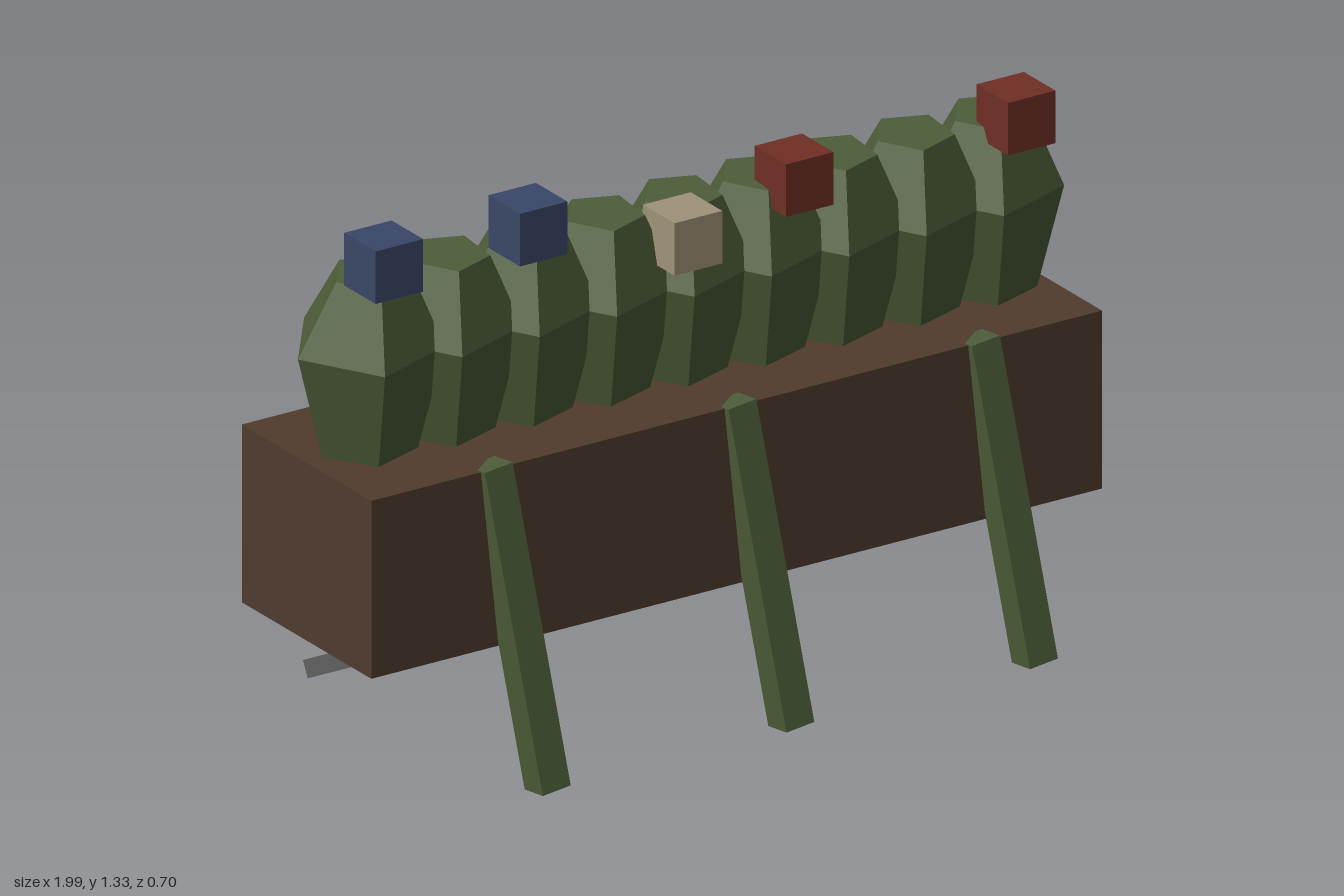
import * as THREE from 'three';

const mat = (name, color) => {
  const m = new THREE.MeshStandardMaterial({ color });
  m.name = name;
  m.flatShading = true;
  return m;
};

// Five-sided faceted shrub: three pentagon rings, closed at both ends
function shrubGeometry() {
  // y, slope of y along z, centre x, centre z, radius
  const rings = [
    [0.773, -0.05, 0.015, -0.033, 0.118],
    [1.035, -0.09, 0, -0.0125, 0.18],
    [1.21, -0.1, 0.003, 0.007, 0.094],
  ];
  const pos = [], index = [];
  for (const [y, slope, cx, cz, r] of rings) {
    for (let i = 0; i < 5; i++) {
      const a = Math.PI + (i * Math.PI * 2) / 5;
      const z = cz - Math.sin(a) * r * 0.95;
      pos.push(cx + Math.cos(a) * r, y + slope * z, z);
    }
  }
  for (let k = 0; k < 2; k++) {
    for (let i = 0; i < 5; i++) {
      const a = k * 5 + i, b = k * 5 + (i + 1) % 5;
      index.push(a, b, b + 5, a, b + 5, a + 5);
    }
  }
  for (let i = 1; i < 4; i++) index.push(0, i + 1, i, 10, 10 + i, 11 + i);
  const g = new THREE.BufferGeometry();
  g.setAttribute('position', new THREE.Float32BufferAttribute(pos, 3));
  g.setIndex(index);
  const flat = g.toNonIndexed();
  flat.computeVertexNormals();
  return flat;
}

export function createModel() {
  const model = new THREE.Group();
  model.name = 'planterBox';
  const green = mat('leafGreen', 0x4d5d38);
  const brown = mat('woodBrown', 0x503c2e);
  const red = mat('flowerRed', 0x702f25);
  const blue = mat('flowerBlue', 0x3a4768);
  const beige = mat('flowerBeige', 0xa09378);
  const gray = mat('metalGray', 0x606060);

  const add = (name, geometry, material, x = 0, y = 0, z = 0) => {
    const mesh = new THREE.Mesh(geometry, material);
    mesh.name = name;
    mesh.position.set(x, y, z);
    model.add(mesh);
    return mesh;
  };

  // Square bar running between two points
  const bar = (name, from, to, width, material) => {
    const a = new THREE.Vector3(...from), b = new THREE.Vector3(...to);
    const dir = a.clone().sub(b);
    const mesh = add(name, new THREE.BoxGeometry(width, dir.length(), width), material);
    mesh.position.copy(a).add(b).multiplyScalar(0.5);
    mesh.quaternion.setFromUnitVectors(new THREE.Vector3(0, 1, 0), dir.normalize());
  };

  // Wooden trough
  add('trough', new THREE.BoxGeometry(1.95, 0.43, 0.52), brown, 0.015, 0.555, -0.035);

  // Row of nine shrubs
  const shrub = shrubGeometry();
  for (let i = 0; i < 9; i++) add('shrub', shrub, green, -0.818 + i * 0.2065, 0, 0);

  // Blossom cubes along the front
  const cube = new THREE.BoxGeometry(0.127, 0.127, 0.127);
  for (const [x, y, m] of [
    [-0.84, 1.272, blue], [-0.455, 1.272, blue], [-0.042, 1.152, beige],
    [0.255, 1.224, red], [0.847, 1.233, red],
  ]) add('blossom', cube, m, x, y, 0.094);

  // Trailing stems hanging over the front
  for (const x of [-0.63, 0.02, 0.67]) {
    bar('hangingStem', [x, 0.773, 0.204], [x + 0.083, 0.011, 0.312], 0.075, green);
  }

  // Slanted brackets under the trough
  for (const x of [-0.742, 0.775]) {
    bar('bracket', [x, 0.336, 0.093], [x, 0.117, -0.337], 0.042, gray);
  }
  return model;
}
